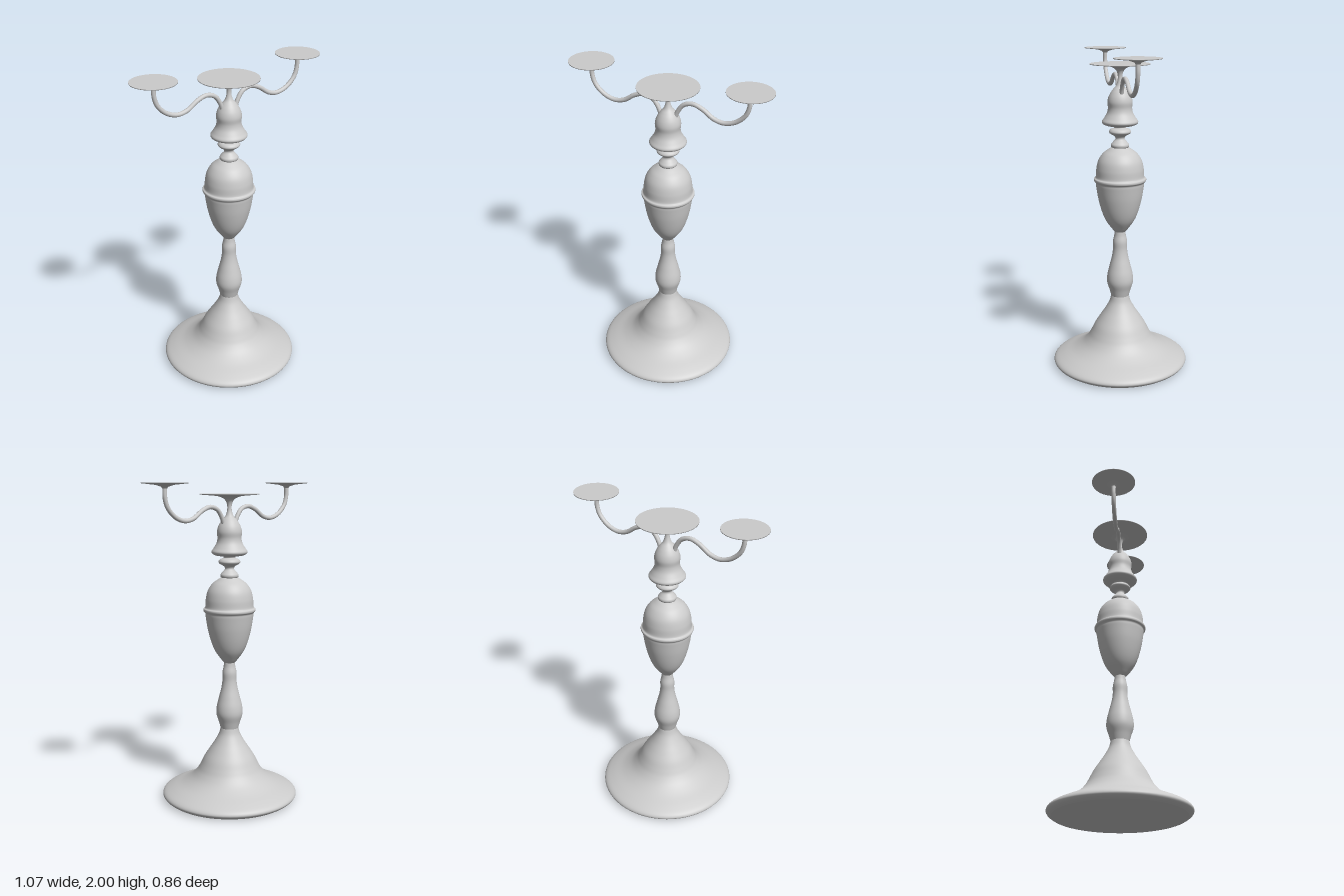
import * as THREE from 'three';

const material = new THREE.MeshStandardMaterial({ color: 0xcccccc });

function part(name, geometry) {
  const mesh = new THREE.Mesh(geometry, material);
  mesh.name = name;
  return mesh;
}

// Turned part: [radius, height] pairs from bottom to top, smoothed by a spline.
function turned(name, profile, samples = profile.length * 5) {
  const curve = new THREE.SplineCurve(profile.map(([r, y]) => new THREE.Vector2(r, y)));
  const points = curve.getPoints(samples).map((p) => new THREE.Vector2(Math.max(p.x, 0), p.y));
  return part(name, new THREE.LatheGeometry(points, 64));
}

// Flat disc; facing is +1 for up, -1 for down.
function disc(name, radius, y, facing) {
  const mesh = part(name, new THREE.CircleGeometry(radius, 64));
  mesh.rotation.x = -facing * Math.PI / 2;
  mesh.position.y = y;
  return mesh;
}

// Thin candle plate: shallow cone below, flat on top.
function plate(name, radius, top, hub) {
  const group = new THREE.Group();
  group.name = name;
  const under = [[hub, top - 0.034], [hub * 1.6, top - 0.024], [radius * 0.4, top - 0.013], [radius, top - 0.004], [radius, top]];
  const geometry = new THREE.LatheGeometry(under.map(([r, y]) => new THREE.Vector2(r, y)), 64);
  group.add(part(name + 'Underside', geometry), disc(name + 'Top', radius, top, 1));
  return group;
}

export function createModel() {
  const model = new THREE.Group();
  model.name = 'candelabra';

  // Wide foot
  model.add(disc('footBottom', 0.40, 0, -1));
  model.add(turned('foot', [
    [0.40, 0], [0.422, 0.015], [0.43, 0.032], [0.415, 0.052], [0.37, 0.075], [0.30, 0.105],
    [0.245, 0.14], [0.208, 0.18], [0.185, 0.22], [0.16, 0.27], [0.128, 0.32], [0.095, 0.37],
    [0.068, 0.42], [0.057, 0.46],
  ]));

  // Baluster stem
  model.add(turned('stem', [
    [0.057, 0.46], [0.068, 0.50], [0.083, 0.55], [0.081, 0.60], [0.067, 0.66], [0.052, 0.72],
    [0.045, 0.77], [0.045, 0.82], [0.037, 0.86], [0.034, 0.89],
  ]));

  // Urn with a raised band
  model.add(turned('urn', [
    [0.034, 0.885], [0.055, 0.91], [0.09, 0.96], [0.115, 1.02], [0.136, 1.10], [0.149, 1.18], [0.152, 1.203],
    [0.162, 1.215], [0.162, 1.228], [0.151, 1.24], [0.147, 1.29], [0.135, 1.34], [0.11, 1.38],
    [0.08, 1.405], [0.045, 1.425], [0, 1.43],
  ], 120));

  // Collar beads below the bell
  model.add(turned('collar', [
    [0.04, 1.415], [0.054, 1.425], [0.056, 1.44], [0.045, 1.455], [0.029, 1.475], [0.035, 1.492],
    [0.06, 1.507], [0.068, 1.52], [0.058, 1.535], [0.037, 1.543], [0.04, 1.553], [0.058, 1.565],
  ]));

  // Bell-shaped cap
  model.add(disc('bellBottom', 0.083, 1.558, -1));
  model.add(turned('bell', [
    [0.083, 1.558], [0.105, 1.568], [0.111, 1.583], [0.097, 1.605], [0.08, 1.635], [0.074, 1.665], [0.077, 1.70],
    [0.071, 1.73], [0.058, 1.757], [0.043, 1.778], [0.025, 1.80], [0.015, 1.83], [0.014, 1.86],
    [0.021, 1.885], [0.034, 1.902],
  ]));
  model.add(plate('centrePlate', 0.183, 1.931, 0.027));

  // Two curved arms on a diagonal, half a turn apart
  const path = new THREE.CatmullRomCurve3([
    [0.04, 1.73], [0.062, 1.79], [0.098, 1.838], [0.155, 1.855], [0.215, 1.835], [0.285, 1.79],
    [0.35, 1.778], [0.42, 1.802], [0.474, 1.855], [0.493, 1.91], [0.494, 1.972],
  ].map(([x, y]) => new THREE.Vector3(x, y, 0)));
  for (const [side, turn] of [['left', 0], ['right', Math.PI]]) {
    const arm = new THREE.Group();
    arm.name = side + 'Arm';
    const outer = plate(side + 'Plate', 0.135, 1.998, 0.013);
    outer.position.x = 0.494;
    arm.add(part(side + 'Branch', new THREE.TubeGeometry(path, 64, 0.0135, 14)), outer);
    arm.rotation.y = Math.atan2(0.29, 0.4) + turn;
    model.add(arm);
  }
  return model;
}
